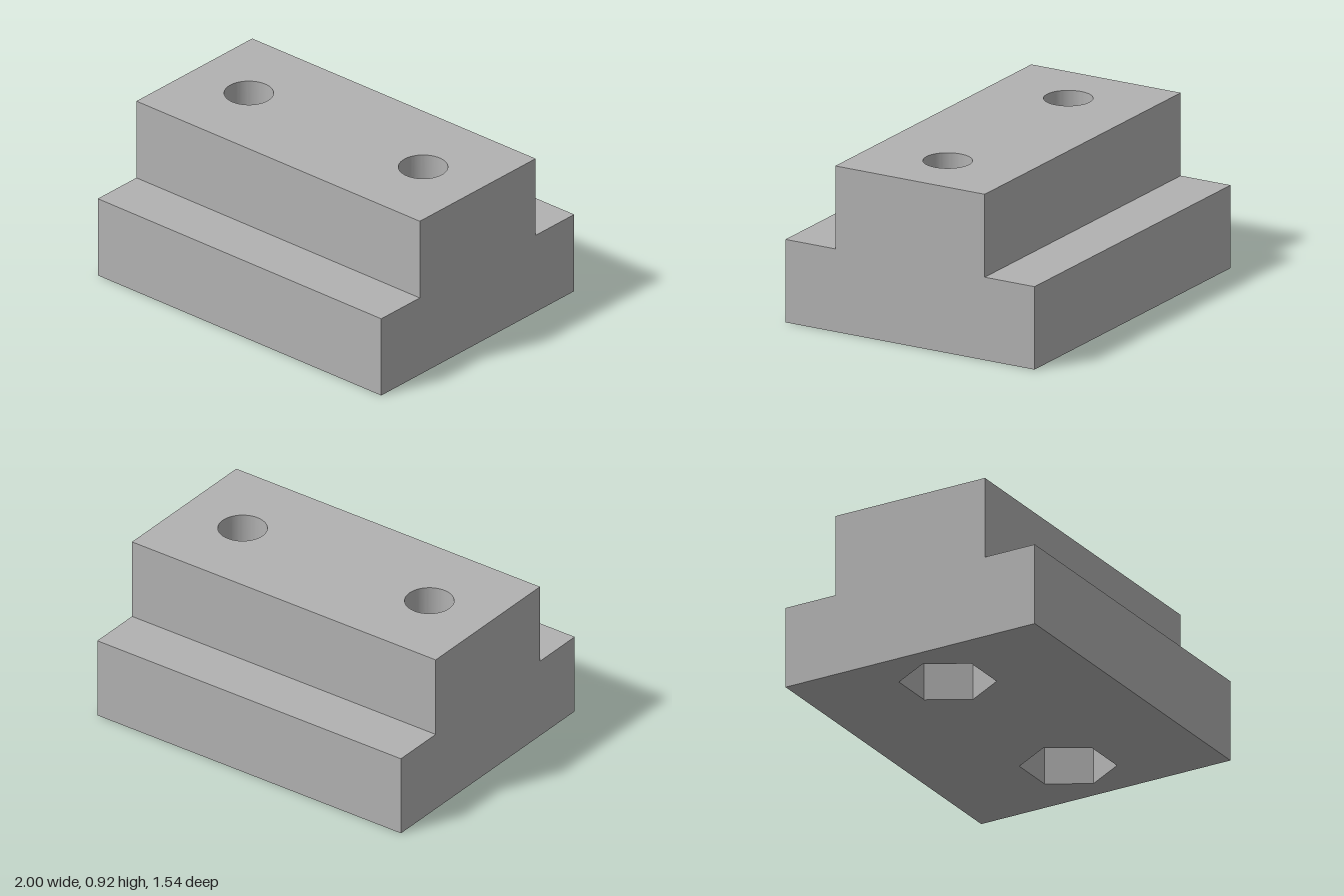
import * as THREE from 'three';
import { toCreasedNormals } from 'three/addons/utils/BufferGeometryUtils.js';

const LENGTH = 2;
const BASE_DEPTH = 1.538;
const RIB_DEPTH = 0.923;
const STEP = 0.4615; // height of each tier
const HOLE_X = 0.615;
const BOLT_RADIUS = 0.131;
const NUT_RADIUS = 0.258; // centre to corner

// Rectangular slab lying flat, pierced by the given holes
function slab(depth, holes) {
  const x = LENGTH / 2, z = depth / 2;
  const shape = new THREE.Shape([
    new THREE.Vector2(-x, -z), new THREE.Vector2(x, -z),
    new THREE.Vector2(x, z), new THREE.Vector2(-x, z),
  ]);
  shape.holes.push(...holes);
  const geometry = new THREE.ExtrudeGeometry(shape, { depth: STEP, bevelEnabled: false, curveSegments: 48 });
  geometry.rotateX(-Math.PI / 2);
  return toCreasedNormals(geometry, Math.PI / 6);
}

function roundHole(x) {
  return new THREE.Path().absarc(x, 0, BOLT_RADIUS, 0, Math.PI * 2, true);
}

// Hexagon with corners pointing along x
function hexHole(x) {
  const points = [];
  for (let i = 0; i < 6; i++) {
    const a = -i * Math.PI / 3;
    points.push(new THREE.Vector2(x + NUT_RADIUS * Math.cos(a), NUT_RADIUS * Math.sin(a)));
  }
  points.push(points[0].clone());
  return new THREE.Path(points);
}

export function createModel() {
  const model = new THREE.Group();
  model.name = 'slotBlock';
  const grey = new THREE.MeshStandardMaterial({ color: 0xb2b2b2 });
  grey.name = 'grey';
  const sides = [-HOLE_X, HOLE_X];

  // Wide base with hexagonal nut pockets open underneath
  const base = new THREE.Mesh(slab(BASE_DEPTH, sides.map(hexHole)), grey);
  base.name = 'baseWithNutPockets';

  // Narrow rib with bolt holes; its underside closes the pockets
  const rib = new THREE.Mesh(slab(RIB_DEPTH, sides.map(roundHole)), grey);
  rib.name = 'ribWithBoltHoles';
  rib.position.y = STEP;

  model.add(base, rib);
  return model;
}
